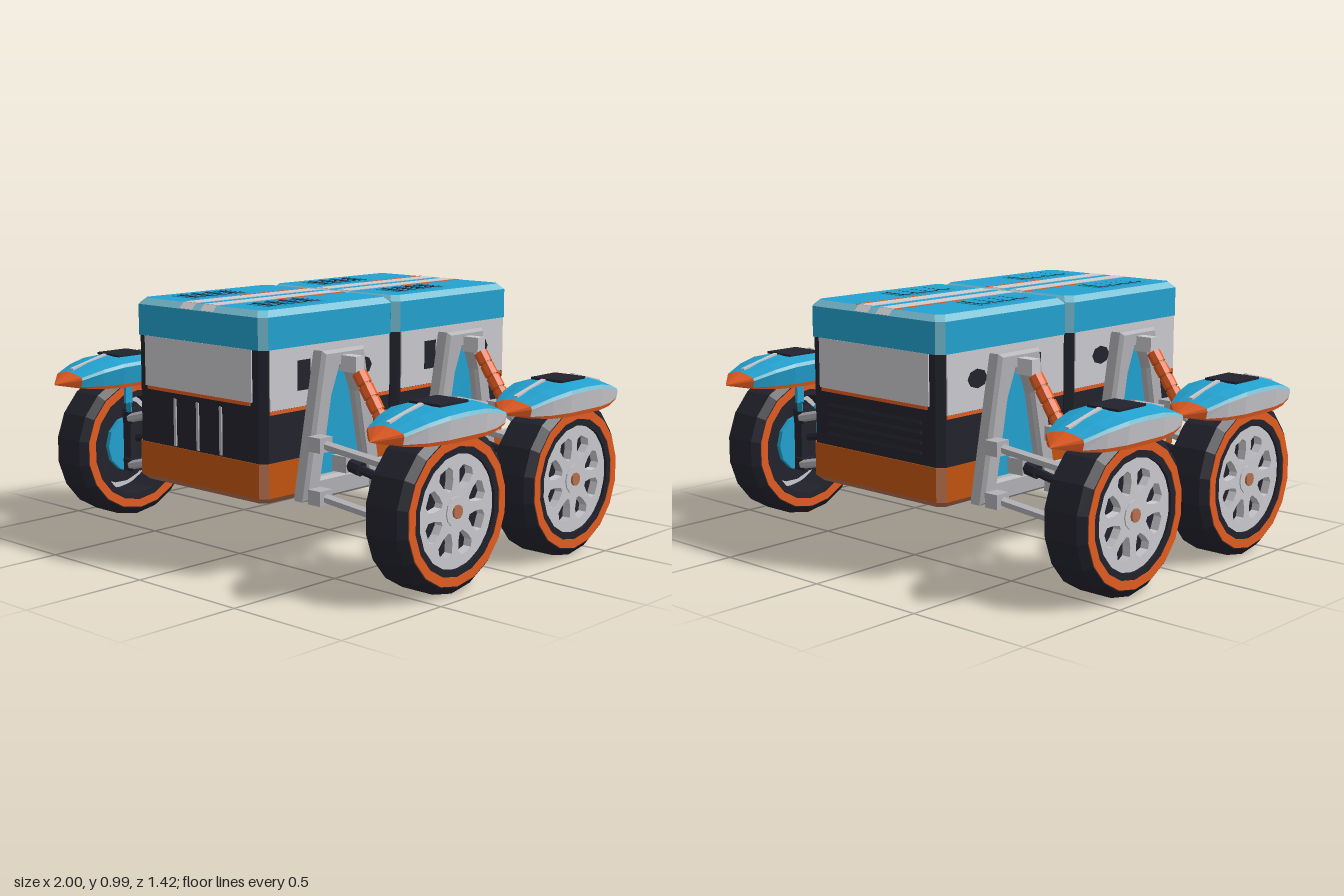
import * as THREE from 'three';

const mat = (name, color) => {
  const m = new THREE.MeshStandardMaterial({ color, side: THREE.DoubleSide });
  m.name = name;
  return m;
};
const V = (x, y, z) => new THREE.Vector3(x, y, z);

export function createModel() {
  const blue = mat('blue', 0x22a2d0), edgeBlue = mat('light edge blue', 0x78bfd4), orange = mat('orange', 0xe45c22);
  const rust = mat('deep orange', 0xc2540f), edgeRust = mat('brown edge', 0xb8714f), dark = mat('charcoal', 0x22222d);
  const pale = mat('pale grey', 0xcbcbd0), steel = mat('steel grey', 0xb2b2b7);

  // Every part is faceted
  const add = (parent, name, geo, material, x = 0, y = 0, z = 0) => {
    const g = geo.index ? geo.toNonIndexed() : geo;
    g.computeVertexNormals();
    const mesh = new THREE.Mesh(g, material);
    mesh.name = name;
    mesh.position.set(x, y, z);
    parent.add(mesh);
    return mesh;
  };
  const box = (parent, name, m, w, h, d, x, y, z) => add(parent, name, new THREE.BoxGeometry(w, h, d), m, x, y, z);
  const rod = (parent, name, m, p, q, r, sides = 6) => {
    const dir = q.clone().sub(p);
    const mesh = add(parent, name, new THREE.CylinderGeometry(r, r, dir.length(), sides), m);
    mesh.position.copy(p).lerp(q, 0.5);
    mesh.quaternion.setFromUnitVectors(V(0, 1, 0), dir.normalize());
    return mesh;
  };
  const outline = (Type, pts) => new Type(pts.map(p => new THREE.Vector2(...p)));
  const fromTriangles = (points) => new THREE.BufferGeometry().setFromPoints(points);
  const quad = (out, a, b, c, d) => out.push(a, b, c, a, c, d);

  // Chamfered block from levels of [height, inset]; the chamfers take the edge colour
  const block = (parent, name, levels, m, edge) => {
    const flat = [], bevel = [];
    const rings = levels.map(([y, s]) => {
      const w = 0.35 - s, d = 0.353 - s, c = 0.026;
      return [[w, -d + c], [w, d - c], [w - c, d], [-w + c, d], [-w, d - c], [-w, -d + c], [-w + c, -d], [w - c, -d]]
        .map(([x, z]) => V(x, y, z));
    });
    const last = rings.length - 1;
    for (let i = 0; i < 8; i++) {
      const k = (i + 1) % 8;
      for (let j = 0; j < last; j++) {
        const sloped = levels[j][1] !== levels[j + 1][1];
        quad(i % 2 || sloped ? bevel : flat, rings[j][i], rings[j + 1][i], rings[j + 1][k], rings[j][k]);
      }
      flat.push(V(0, levels[last][0], 0), rings[last][k], rings[last][i]);
      flat.push(V(0, levels[0][0], 0), rings[0][i], rings[0][k]);
    }
    add(parent, name, fromTriangles(flat), m);
    add(parent, name + 'Edges', fromTriangles(bevel), edge);
  };

  const buildModule = (end) => {
    const g = new THREE.Group();
    g.name = 'bodyModule';
    block(g, 'baseBand', [[0.28, 0.022], [0.302, 0], [0.43, 0]], rust, edgeRust);
    block(g, 'midBody', [[0.43, 0.004], [0.84, 0.004]], dark, dark);
    block(g, 'roof', [[0.84, 0], [0.957, 0], [0.98, 0.022]], blue, edgeBlue);
    box(g, 'floorPlate', dark, 0.6, 0.008, 0.61, 0, 0.279, 0);
    for (const s of [-1, 1]) {
      // Roof stripes, carried over the chamfers
      box(g, 'roofStripe', pale, 0.066, 0.006, 0.66, s * 0.056, 0.979, 0);
      box(g, 'roofPinstripe', orange, 0.01, 0.006, 0.36, s * 0.102, 0.979, -0.15);
      for (const e of [-1, 1]) {
        box(g, 'edgeStripe', pale, 0.066, 0.006, 0.031, s * 0.056, 0.968, e * 0.341).rotation.x = e * Math.PI / 4;
      }
      // Louvred roof vents
      box(g, 'ventFrame', blue, 0.13, 0.006, 0.28, s * 0.203, 0.98, 0.09);
      for (let i = 0; i < 4; i++) {
        const z = -0.012 + i * 0.068;
        box(g, 'ventSlot', dark, 0.108, 0.006, 0.05, s * 0.203, 0.981, z);
        box(g, 'ventSlat', blue, 0.096, 0.003, 0.036, s * 0.203, 0.985, z + 0.001).rotation.x = -0.12;
      }
      // Side panel with two windows and a blue inset behind the suspension frame
      box(g, 'sidePanel', pale, 0.008, 0.22, 0.64, s * 0.347, 0.73, 0);
      box(g, 'sideTrim', orange, 0.008, 0.012, 0.64, s * 0.347, 0.612, 0);
      box(g, 'squareWindow', dark, 0.009, 0.11, 0.065, s * 0.35, 0.735, 0.15);
      const oval = add(g, 'roundWindow', new THREE.CylinderGeometry(0.036, 0.036, 0.009, 8), dark, s * 0.35, 0.735, -0.165);
      oval.rotation.z = Math.PI / 2;
      oval.scale.z = 1.4;
      const inset = outline(THREE.Shape, [[-0.14, 0.36], [0.14, 0.36], [0.08, 0.66], [0.04, 0.78], [-0.04, 0.78], [-0.08, 0.66]]);
      add(g, 'blueInset', new THREE.ExtrudeGeometry(inset, { depth: 0.03, bevelEnabled: false }).rotateY(s * Math.PI / 2),
        blue, s * 0.348, 0, 0);
    }
    // End face panel, with bars in front or louvres behind
    const f = end * 0.35;
    box(g, 'endPanel', pale, 0.58, 0.19, 0.009, 0, 0.745, f);
    box(g, 'endTrim', orange, 0.56, 0.013, 0.009, 0, 0.643, f);
    if (end > 0) for (const x of [-0.125, 0, 0.125]) box(g, 'grilleBar', steel, 0.012, 0.18, 0.01, x, 0.525, f);
    else for (let i = 0; i < 4; i++) box(g, 'rearLouvre', dark, 0.5, 0.014, 0.012, 0, 0.475 + i * 0.037, f).rotation.x = 0.4;
    return g;
  };

  // Wheel, turned about its own x axis
  const buildWheel = () => {
    const g = new THREE.Group();
    g.name = 'wheel';
    const ring = (name, m, pts) => add(g, name,
      new THREE.LatheGeometry(pts.map(p => new THREE.Vector2(...p)), 18, Math.PI / 2).rotateZ(-Math.PI / 2), m);
    ring('tyre', dark, [[0.208, -0.095], [0.272, -0.095], [0.3, -0.07], [0.3, 0.07], [0.272, 0.095], [0.208, 0.095], [0.208, -0.095]]);
    for (const s of [-1, 1]) {
      const a = s * 0.094 - 0.004, b = a + 0.008;
      ring('tyreBand', orange, [[0.234, a], [0.268, a], [0.268, b], [0.234, b], [0.234, a]]);
    }
    // Rim disc pierced by eight flared windows
    const disc = new THREE.Shape().absarc(0, 0, 0.209, 0, Math.PI * 2);
    for (let i = 0; i < 8; i++) {
      const polar = (r, t) => {
        const a = (i + 0.5) * Math.PI / 4 + t;
        return [Math.cos(a) * r, Math.sin(a) * r];
      };
      disc.holes.push(outline(THREE.Path, [polar(0.082, -0.1), polar(0.115, -0.25), polar(0.15, -0.27), polar(0.168, -0.15),
        polar(0.168, 0.15), polar(0.15, 0.27), polar(0.115, 0.25), polar(0.082, 0.1)]));
    }
    add(g, 'rim', new THREE.ExtrudeGeometry(disc, { depth: 0.035, bevelEnabled: false, curveSegments: 9 })
      .rotateY(Math.PI / 2), pale, 0.05, 0, 0);
    rod(g, 'rimBacking', dark, V(0.03, 0, 0), V(0.051, 0, 0), 0.18, 18);
    rod(g, 'hub', pale, V(0.06, 0, 0), V(0.09, 0, 0), 0.055, 12);
    rod(g, 'hubCap', edgeRust, V(0.08, 0, 0), V(0.098, 0, 0), 0.025, 10);
    return g;
  };

  // Pointed fender from cross-sections: [z, half width, bottom, edge, top]
  const buildFender = () => {
    const g = new THREE.Group();
    g.name = 'fender';
    const half = [[0, 0.14, 0.557, 0.646, 0.682], [0.1, 0.138, 0.557, 0.643, 0.678], [0.19, 0.118, 0.56, 0.628, 0.66],
      [0.28, 0.085, 0.57, 0.603, 0.63], [0.355, 0.002, 0.584, 0.586, 0.588]];
    const rows = [...half.slice(1).reverse().map(([z, ...r]) => [-z, ...r]), ...half];
    const sections = rows.map(([z, w, b, e, t]) => {
      const side = [[0.9, b], [0.93, b + (e - b) * 0.18], [1, e], [0.95, e + (t - e) * 0.4], [0.5, e + (t - e) * 0.8]];
      return [...side.map(([k, y]) => V(-k * w, y, z)), V(0, t, z), ...side.reverse().map(([k, y]) => V(k * w, y, z))];
    });
    // Strips across the section, from the inner hem over the crest to the outer hem
    const strips = ['trim', 'shell', 'edge', 'shell', 'shell', 'shell', 'shell', 'edge', 'skirt', 'trim'];
    const faces = { trim: [], skirt: [], edge: [], shell: [] };
    for (let j = 0; j < sections.length - 1; j++) {
      const tip = j === 0 || j === sections.length - 2;
      strips.forEach((key, i) =>
        quad(faces[tip ? 'trim' : key], sections[j][i], sections[j + 1][i], sections[j + 1][i + 1], sections[j][i + 1]));
    }
    add(g, 'fenderTrim', fromTriangles(faces.trim), orange);
    add(g, 'fenderSkirt', fromTriangles(faces.skirt), pale);
    add(g, 'fenderEdge', fromTriangles(faces.edge), edgeBlue);
    add(g, 'fenderShell', fromTriangles(faces.shell), blue);
    // Top opening and ridge flashes
    box(g, 'fenderVent', dark, 0.14, 0.009, 0.155, 0, 0.68, 0);
    for (const s of [-1, 1]) box(g, 'fenderFlash', pale, 0.018, 0.008, 0.18, 0, 0.661, s * 0.18).rotation.x = s * 0.24;
    return g;
  };

  // Complete corner, built for the +x side and turned round for the other
  const buildCorner = () => {
    const g = new THREE.Group();
    g.name = 'wheelCorner';
    const plate = outline(THREE.Shape, [[-0.2, 0.29], [0.2, 0.29], [0.1, 0.81], [-0.1, 0.81]]);
    plate.holes.push(outline(THREE.Path, [[-0.135, 0.35], [-0.075, 0.66], [-0.032, 0.765], [0.032, 0.765], [0.075, 0.66], [0.135, 0.35]]));
    add(g, 'suspensionFrame', new THREE.ExtrudeGeometry(plate, {
      depth: 0.04, bevelThickness: 0.014, bevelSize: 0.012, bevelSegments: 1,
    }).rotateY(Math.PI / 2), steel, 0.364, 0, 0);
    box(g, 'shockMount', pale, 0.08, 0.06, 0.045, 0.45, 0.77, 0);
    // Wishbones
    for (const [y0, y1] of [[0.495, 0.42], [0.3, 0.22]]) {
      for (const s of [-1, 1]) {
        box(g, 'armMount', steel, 0.06, 0.055, 0.065, 0.447, y0, s * 0.165);
        rod(g, 'wishboneArm', steel, V(0.46, y0, s * 0.165), V(0.76, y1, s * 0.045), 0.019);
      }
      rod(g, 'wishboneBrace', steel, V(0.64, y0 + (y1 - y0) * 0.6, -0.09), V(0.64, y0 + (y1 - y0) * 0.6, 0.09), 0.01);
      box(g, 'ballJoint', dark, 0.06, 0.05, 0.11, 0.77, y1, 0);
    }
    box(g, 'driveMount', steel, 0.1, 0.06, 0.06, 0.4, 0.395, 0);
    rod(g, 'driveShaft', dark, V(0.43, 0.395, 0), V(0.79, 0.325, 0), 0.017);
    rod(g, 'driveBoot', dark, V(0.45, 0.392, 0), V(0.5, 0.382, 0), 0.028, 8);
    // Shock absorber
    const top = V(0.455, 0.785, 0), foot = V(0.7, 0.435, 0);
    const at = t => top.clone().lerp(foot, t);
    rod(g, 'shockRod', steel, top, foot, 0.011);
    rod(g, 'shockBody', rust, at(0.13), at(0.63), 0.023, 8);
    for (let i = 0; i < 4; i++) rod(g, 'shockCoil', orange, at(0.13 + i * 0.13), at(0.24 + i * 0.13), 0.028, 8);
    // Upright and axle
    box(g, 'upright', dark, 0.05, 0.26, 0.08, 0.795, 0.32, 0);
    rod(g, 'brakeDisc', blue, V(0.815, 0.3, 0), V(0.835, 0.3, 0), 0.12, 12);
    rod(g, 'axle', steel, V(0.78, 0.3, 0), V(0.9, 0.3, 0), 0.03, 8);
    // Fender brackets
    for (const s of [-1, 1]) {
      box(g, 'fenderBracket', blue, 0.014, 0.13, 0.035, 0.742, 0.555, s * 0.07);
      rod(g, 'fenderStay', blue, V(0.742, 0.5, s * 0.07), V(0.785, 0.42, s * 0.03), 0.012);
    }
    const wheel = buildWheel();
    wheel.position.set(0.858, 0.3, 0);
    const fender = buildFender();
    fender.position.x = 0.86;
    g.add(wheel, fender);
    return g;
  };

  const model = new THREE.Group();
  model.name = 'fourWheelRover';
  for (const end of [1, -1]) {
    const body = buildModule(end);
    body.position.z = end * 0.355;
    model.add(body);
    for (const turn of [0, Math.PI]) {
      const corner = buildCorner();
      corner.position.z = end * 0.355;
      corner.rotation.y = turn;
      model.add(corner);
    }
  }
  return model;
}
